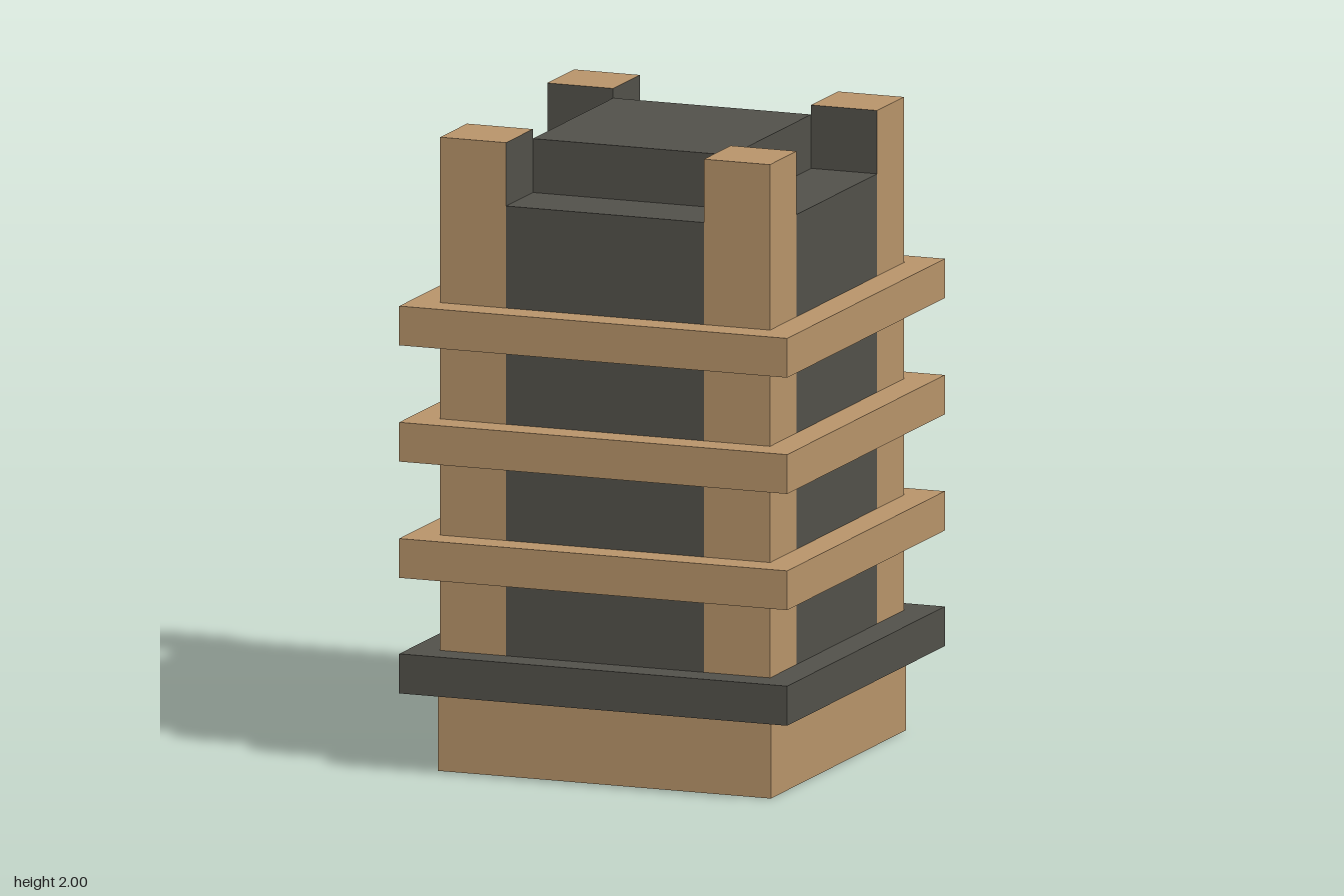
import * as THREE from 'three';

const tan = new THREE.MeshStandardMaterial({ color: 0xb8946a });
const dark = new THREE.MeshStandardMaterial({ color: 0x52514a });
const tanSheet = new THREE.MeshStandardMaterial({ color: 0xb8946a, side: THREE.DoubleSide });
const darkSheet = new THREE.MeshStandardMaterial({ color: 0x52514a, side: THREE.DoubleSide });

const OUT = 0.55; // half width of the tower
const CORE = 0.33; // half width of the core, between the posts
const POST = OUT - CORE;
const MID = (OUT + CORE) / 2;
const FLOOR = 0.38; // underside of the solid body; hollow below
const LEDGE = 1.8;

function add(parent, name, geometry, material, x = 0, y = 0, z = 0) {
  const mesh = new THREE.Mesh(geometry, material);
  mesh.name = name;
  mesh.position.set(x, y, z);
  parent.add(mesh);
  return mesh;
}

// Upright box given by its bottom and top heights
function block(parent, name, w, d, y0, y1, material, x = 0, z = 0) {
  return add(parent, name, new THREE.BoxGeometry(w, y1 - y0, d), material, x, (y0 + y1) / 2, z);
}

function square(path, h) {
  path.moveTo(-h, -h);
  path.lineTo(h, -h);
  path.lineTo(h, h);
  path.lineTo(-h, h);
  path.closePath();
  return path;
}

// Square collar with a square opening
function collar(parent, name, half, y0, y1, material) {
  const shape = square(new THREE.Shape(), half);
  shape.holes.push(square(new THREE.Path(), OUT + 0.001));
  const geometry = new THREE.ExtrudeGeometry(shape, { depth: y1 - y0, bevelEnabled: false });
  geometry.rotateX(-Math.PI / 2);
  return add(parent, name, geometry, material, 0, y0, 0);
}

export function createModel() {
  const model = new THREE.Group();
  model.name = 'tower';

  // Central block, rising above the ledges
  block(model, 'core', CORE * 2, CORE * 2, FLOOR, 1.97, dark);

  // Four identical sides: wall panel, corner post and hollow foot lining
  for (let i = 0; i < 4; i++) {
    const side = new THREE.Group();
    side.name = 'side';
    side.rotation.y = (i * Math.PI) / 2;
    model.add(side);

    block(side, 'wallPanel', CORE * 2, POST, FLOOR, LEDGE, dark, 0, MID);
    // Posts are dark on the faces turned inwards and underneath
    block(side, 'cornerPost', POST, POST, FLOOR, 2, [tan, dark, tan, dark, tan, dark], MID, MID);

    add(side, 'footPanel', new THREE.PlaneGeometry(CORE * 2, FLOOR), darkSheet, 0, FLOOR / 2, OUT);
    for (const s of [-1, 1]) {
      add(side, 'footPost', new THREE.PlaneGeometry(POST, FLOOR), tanSheet, s * MID, FLOOR / 2, OUT);
    }
  }

  // Base skirt, dark lower collar and three wooden collars
  collar(model, 'baseSkirt', 0.555, 0, 0.255, tan);
  collar(model, 'lowerCollar', 0.647, 0.255, 0.38, dark);
  for (const y of [0.62, 0.987, 1.354]) collar(model, 'woodenCollar', 0.647, y, y + 0.124, tan);

  return model;
}
